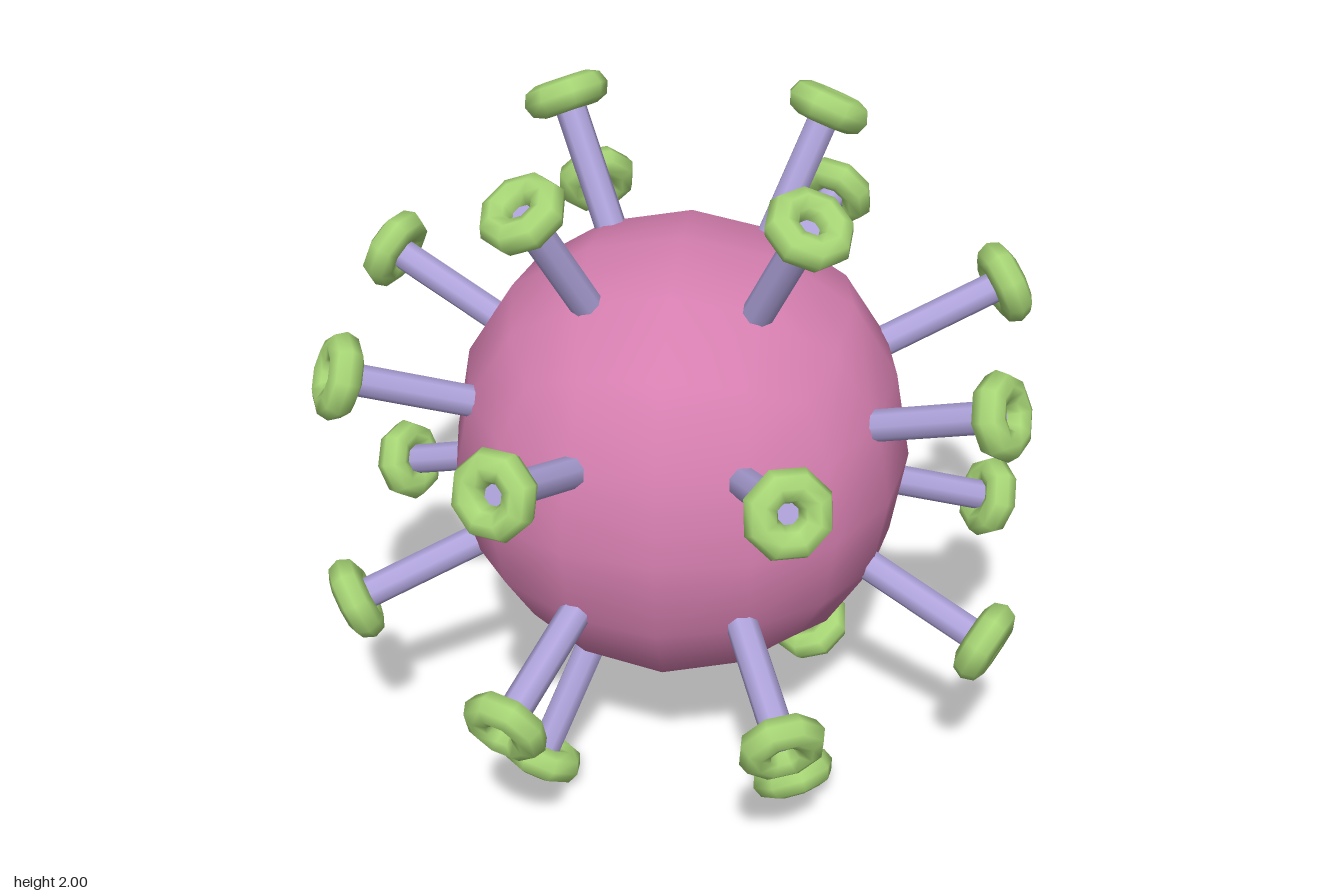
import * as THREE from 'three';
import { mergeVertices } from 'three/addons/utils/BufferGeometryUtils.js';

// Rounded cube-sphere: a 4x4x4 box whose vertices are pulled to a twice-smoothed cube.
// Key: sorted absolute box coordinates -> new length of each coordinate value.
const SMOOTHED = {
  '0,0,1': { 0: 0, 1: 0.667 },
  '0,0.5,1': { 0: 0, 0.5: 0.266, 1: 0.622 },
  '0,1,1': { 0: 0, 1: 0.488 },
  '0.5,0.5,1': { 0.5: 0.248, 1: 0.58 },
  '0.5,1,1': { 0.5: 0.229, 1: 0.455 },
  '1,1,1': { 1: 0.387 },
};

function bodyGeometry() {
  const box = new THREE.BoxGeometry(2, 2, 2, 4, 4, 4);
  box.deleteAttribute('normal');
  box.deleteAttribute('uv');
  const geo = mergeVertices(box);
  const pos = geo.attributes.position;
  for (let i = 0; i < pos.count; i++) {
    const p = [pos.getX(i), pos.getY(i), pos.getZ(i)];
    const map = SMOOTHED[p.map(Math.abs).sort((a, b) => a - b).join(',')];
    pos.setXYZ(i, ...p.map((v) => Math.sign(v) * map[Math.abs(v)]));
  }
  geo.computeVertexNormals();
  return geo;
}

export function createModel() {
  const model = new THREE.Group();
  model.name = 'virus';
  const pink = new THREE.MeshStandardMaterial({ color: 0xd67fb0 });
  const purple = new THREE.MeshStandardMaterial({ color: 0xb0a4dc });
  const green = new THREE.MeshStandardMaterial({ color: 0xa8d676 });

  const body = new THREE.Mesh(bodyGeometry(), pink);
  body.name = 'body';
  body.position.y = 1;
  model.add(body);

  // Spike parts point along +z, with flats of the octagons facing +x
  const inner = 0.63, outer = 1.062;
  const stalkGeo = new THREE.CylinderGeometry(0.046, 0.046, outer - inner, 8)
    .rotateX(Math.PI / 2)
    .rotateZ(Math.PI / 8)
    .translate(0, 0, (inner + outer) / 2);
  const ringGeo = new THREE.TorusGeometry(0.079, 0.049, 8, 8)
    .rotateZ(Math.PI / 8)
    .translate(0, 0, outer);

  // Four spikes around each of the six axis directions
  const signs = [-1, 1];
  for (let axis = 0; axis < 3; axis++)
    for (const s of signs) for (const u of signs) for (const v of signs) {
      const main = new THREE.Vector3().setComponent(axis, s);
      const dir = main.clone().multiplyScalar(1 + Math.SQRT2)
        .setComponent((axis + 1) % 3, u)
        .setComponent((axis + 2) % 3, v)
        .normalize();
      const tangent = main.addScaledVector(dir, -main.dot(dir)).normalize();
      const side = dir.clone().cross(tangent);

      const spike = new THREE.Group();
      spike.name = 'spike';
      const stalk = new THREE.Mesh(stalkGeo, purple);
      stalk.name = 'spikeStalk';
      const ring = new THREE.Mesh(ringGeo, green);
      ring.name = 'spikeRing';
      spike.add(stalk, ring);
      spike.quaternion.setFromRotationMatrix(new THREE.Matrix4().makeBasis(tangent, side, dir));
      spike.position.y = 1;
      model.add(spike);
    }
  return model;
}
